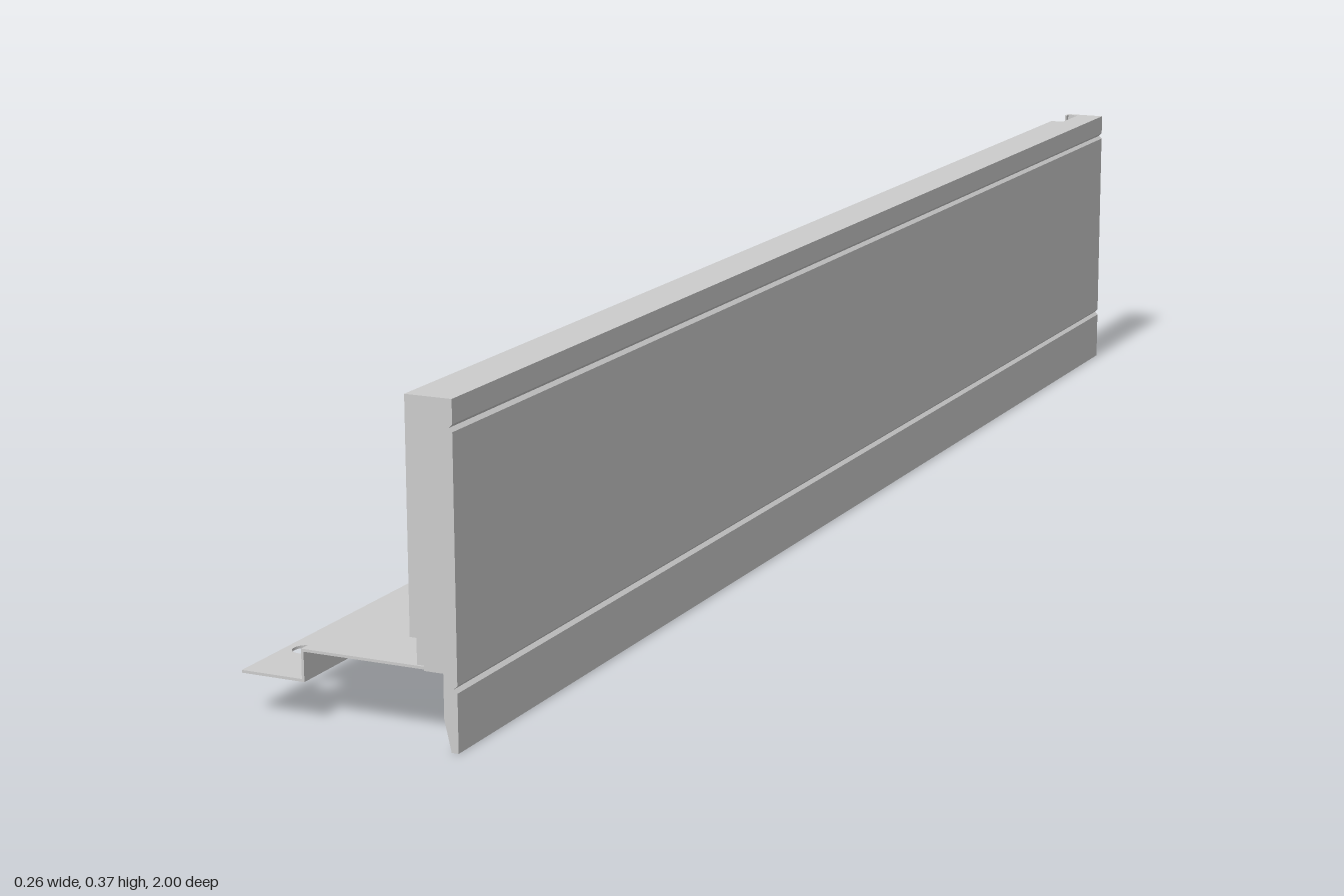
import * as THREE from 'three';

const material = new THREE.MeshStandardMaterial({ color: 0xcccccc, side: THREE.DoubleSide });
const OUT = 0.131, TOP = 0.37, DECK = 0.083, GROOVES = [0.068, 0.34];

// Cross-section of the wall: grooved outer face, inner face at innerX, narrow skirt below
function wallShape(innerX, { notch = false, taper = false } = {}) {
  const p = [];
  if (taper) p.push([0.115, DECK], [0.115, 0.035], [0.123, 0]);
  else p.push([0.109, DECK], [0.109, 0]);
  p.push([OUT, 0]);
  for (const y of GROOVES) p.push([OUT, y - 0.004], [OUT - 0.004, y], [OUT, y + 0.004]);
  p.push([OUT, TOP], [innerX, TOP]);
  if (notch) p.push([innerX, 0.117], [0.093, 0.117], [0.093, DECK]);
  else p.push([innerX, DECK]);
  return new THREE.Shape(p.map(([x, y]) => new THREE.Vector2(x, y)));
}

export function createModel() {
  const group = new THREE.Group();
  const add = (name, geometry) => {
    const mesh = new THREE.Mesh(geometry, material);
    mesh.name = name;
    group.add(mesh);
  };
  const extrude = (name, shape, z0, z1) => add(name,
    new THREE.ExtrudeGeometry(shape, { depth: z1 - z0, bevelEnabled: false }).translate(0, 0, z0));
  const box = (name, x0, x1, y0, y1, z0, z1) => add(name,
    new THREE.BoxGeometry(x1 - x0, y1 - y0, z1 - z0)
      .translate((x0 + x1) / 2, (y0 + y1) / 2, (z0 + z1) / 2));

  // Side wall in lengths: rear plate, slotted neck, main run, tapered nose, front cap
  extrude('rearPlate', wallShape(0.077, { notch: true }), -1, -0.992);
  extrude('rearNeck', wallShape(0.095), -0.992, -0.925);
  extrude('sideWall', wallShape(0.077), -0.925, 0.89);
  extrude('frontNose', wallShape(0.077, { taper: true }), 0.89, 0.985);
  extrude('frontCap', wallShape(0.077, { notch: true, taper: true }), 0.985, 1);
  box('rearPlateLip', 0.077, 0.08, 0.117, TOP, -0.992, -0.985);

  // Low angle strip along the foot of the inner wall
  box('footStrip', 0.076, 0.093, DECK, 0.117, -0.925, 0.985);

  // Stepped base: deck, riser and drilled mounting flange
  const z0 = -0.937, z1 = 0.988, t = 0.003;
  box('deck', -0.06, 0.113, DECK - t, DECK, z0, z1);
  box('riser', -0.06, -0.057, 0.047, DECK - t, z0, z1);

  const flange = new THREE.Shape([
    [-0.133, z0], [-0.06, z0], [-0.06, z1], [-0.133, z1],
  ].map(([x, z]) => new THREE.Vector2(x, z)));
  for (const z of [-0.61, -0.045, 0.38, 0.9]) {
    flange.holes.push(new THREE.Path().absarc(-0.109, z, 0.015, 0, Math.PI * 2, true));
  }
  add('mountingFlange', new THREE.ExtrudeGeometry(flange, { depth: t, bevelEnabled: false, curveSegments: 24 })
    .rotateX(Math.PI / 2).translate(0, 0.05, 0));

  return group;
}
